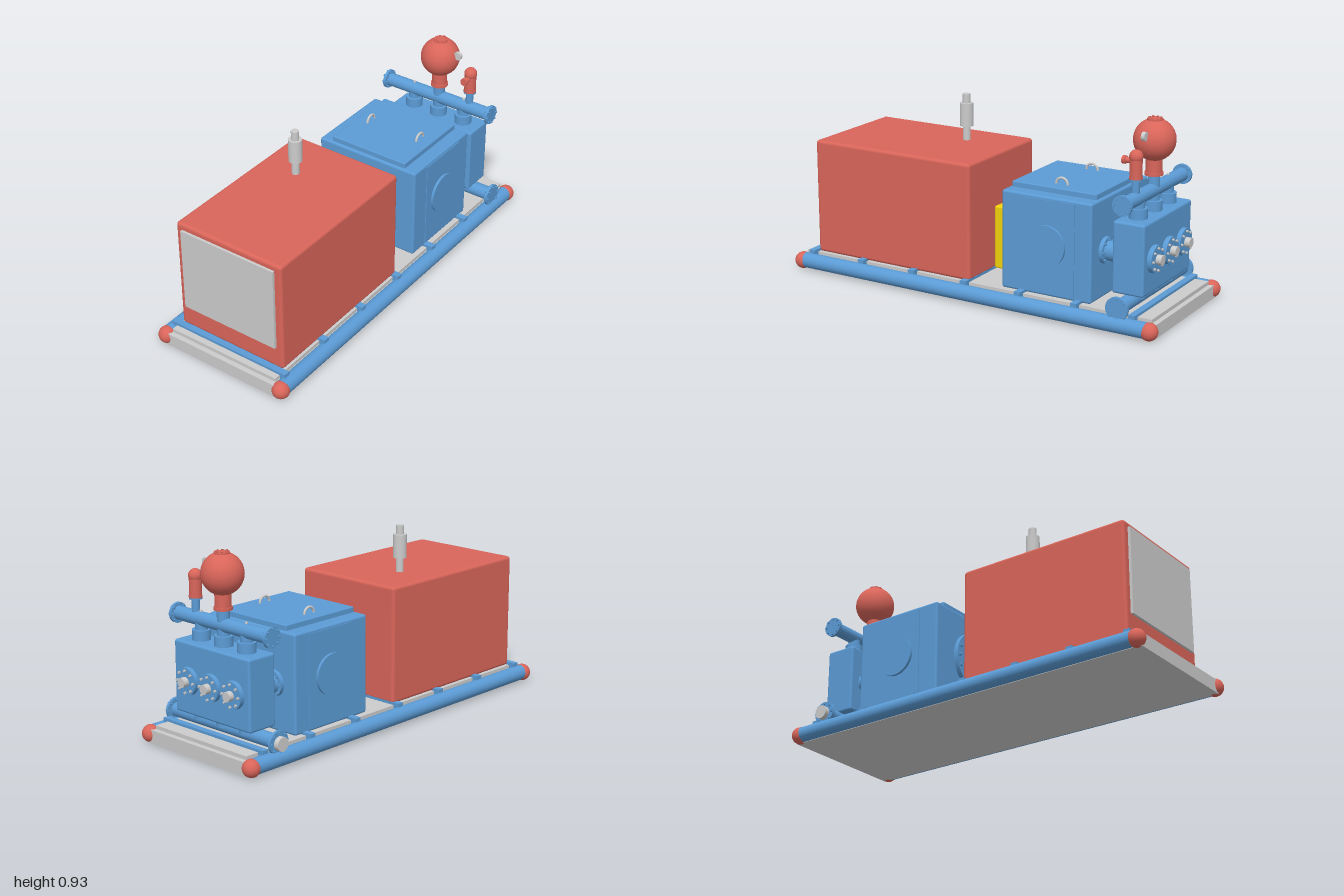
import * as THREE from 'three';
import { RoundedBoxGeometry } from 'three/addons/geometries/RoundedBoxGeometry.js';

const paint = (color) => new THREE.MeshStandardMaterial({ color });

export function createModel() {
  const model = new THREE.Group();
  const grey = paint(0xcccccc);
  const red = paint(0xd9655a);
  const blue = paint(0x5b9bd5);
  const yellow = paint(0xf2d20c);

  const add = (name, geometry, material, x = 0, y = 0, z = 0) => {
    const mesh = new THREE.Mesh(geometry, material);
    mesh.name = name;
    mesh.position.set(x, y, z);
    model.add(mesh);
    return mesh;
  };

  // Box given by its limits on each axis; r > 0 rounds the edges
  const box = (name, mat, [x0, x1], [y0, y1], [z0, z1], r = 0) => {
    const size = [x1 - x0, y1 - y0, z1 - z0];
    const geo = r ? new RoundedBoxGeometry(...size, 3, r) : new THREE.BoxGeometry(...size);
    return add(name, geo, mat, (x0 + x1) / 2, (y0 + y1) / 2, (z0 + z1) / 2);
  };

  // Cylinder running along an axis from a to b; the other two coordinates come from c
  const rod = (name, mat, axis, r, a, b, c, segments = 40) => {
    const geo = new THREE.CylinderGeometry(r, r, b - a, segments);
    if (axis === 'x') geo.rotateZ(-Math.PI / 2);
    if (axis === 'z') geo.rotateX(Math.PI / 2);
    const p = { x: c[0], y: c[1], z: c[2] };
    p[axis] = (a + b) / 2;
    return add(name, geo, mat, p.x, p.y, p.z);
  };

  const ball = (name, mat, r, x, y, z) =>
    add(name, new THREE.SphereGeometry(r, 40, 28), mat, x, y, z);

  // Ring of hexagonal bolts around an axis
  const bolts = (name, mat, axis, count, ring, r, a, b, c) => {
    for (let i = 0; i < count; i++) {
      const t = (i / count) * Math.PI * 2;
      const u = ring * Math.cos(t), v = ring * Math.sin(t);
      const [x, y, z] = c;
      const p = axis === 'x' ? [x, y + u, z + v] : axis === 'y' ? [x + u, y, z + v] : [x + u, y + v, z];
      rod(name, mat, axis, r, a, b, p, 6);
    }
  };

  // Skid: deck, side rails with ball ends, crossbars
  box('skidBase', grey, [-0.98, 0.98], [0.01, 0.075], [-0.33, 0.33]);
  box('skidDeck', grey, [-0.955, 0.955], [0.075, 0.093], [-0.3, 0.3]);
  for (const s of [-1, 1]) {
    rod('sideRail', blue, 'x', 0.038, -0.96, 0.96, [0, 0.05, s * 0.332]);
    for (const e of [-1, 1]) ball('railEnd', red, 0.042, e * 0.958, 0.048, s * 0.333);
  }
  for (let i = 0; i < 7; i++) {
    const x = -0.907 + i * 0.296;
    box('crossbar', blue, [x - 0.016, x + 0.016], [0.075, 0.106], [-0.33, 0.33]);
  }

  // Engine enclosure, radiator panel and exhaust
  box('engineEnclosure', red, [-0.89, -0.003], [0.095, 0.665], [-0.295, 0.295], 0.016);
  box('radiatorPanel', grey, [-0.903, -0.88], [0.21, 0.635], [-0.26, 0.26]);
  const stack = [-0.265, 0, -0.1];
  rod('exhaustPipe', grey, 'y', 0.019, 0.65, 0.895, stack);
  rod('muffler', grey, 'y', 0.033, 0.735, 0.85, stack);

  // Drive coupling between engine and gearbox
  rod('driveShaft', grey, 'x', 0.022, -0.01, 0.14, [0, 0.325, 0]);
  box('couplingGuard', yellow, [0.015, 0.145], [0.11, 0.42], [-0.098, 0.098], 0.008);
  rod('inputFlange', blue, 'x', 0.147, 0.143, 0.175, [0, 0.34, 0], 56);
  bolts('inputBolt', blue, 'x', 16, 0.13, 0.008, 0.133, 0.15, [0, 0.34, 0]);

  // Gearbox with lid, round side covers and lifting eyes
  box('gearbox', blue, [0.166, 0.635], [0.095, 0.57], [-0.28, 0.28], 0.012);
  box('gearboxLid', blue, [0.18, 0.622], [0.56, 0.597], [-0.212, 0.212], 0.006);
  for (const s of [-1, 1]) {
    box('sidePanel', blue, [0.27, 0.55], [0.11, 0.555], [s * 0.28 - 0.004, s * 0.28 + 0.004]);
    rod('sideCover', blue, 'z', 0.098, s * 0.285 - 0.012, s * 0.285 + 0.012, [0.407, 0.34, 0], 56);
    add('liftingEye', new THREE.TorusGeometry(0.03, 0.006, 10, 24, Math.PI), grey, 0.407, 0.597, s * 0.145);
  }

  // Pump head: block, three plunger tubes, three cover flanges
  box('pumpHead', blue, [0.722, 0.88], [0.16, 0.5], [-0.245, 0.245], 0.012);
  for (const z of [-0.148, 0, 0.148]) {
    const c = [0.8, 0.322, z];
    rod('plungerTube', blue, 'x', 0.047, 0.63, 0.73, c);
    rod('plungerFlange', blue, 'x', 0.063, 0.635, 0.655, c);
    bolts('plungerBolt', blue, 'x', 8, 0.053, 0.006, 0.652, 0.663, c);
    rod('headFlange', blue, 'x', 0.065, 0.875, 0.903, c);
    rod('headPlug', grey, 'x', 0.023, 0.9, 0.93, c);
    bolts('headBolt', grey, 'x', 8, 0.052, 0.006, 0.9, 0.912, c);
    rod('dischargePort', blue, 'y', 0.043, 0.49, 0.548, [0.8, 0, z]);
    rod('dischargeNeck', blue, 'y', 0.029, 0.54, 0.595, [0.8, 0, z]);
    rod('suctionNeck', blue, 'y', 0.042, 0.125, 0.17, [0.8, 0, z]);
    if (z) rod('manifoldPlug', grey, 'y', 0.007, 0.62, 0.636, [0.8, 0, z], 12);
  }

  // Discharge and suction manifolds with bolted end flanges
  const manifold = (name, y, r, flange, end) => {
    rod(name, blue, 'z', r, -end + 0.005, end - 0.005, [0.8, y, 0]);
    for (const s of [-1, 1]) {
      const z = s * (end - 0.007);
      rod(name + 'Flange', blue, 'z', flange, z - 0.007, z + 0.007, [0.8, y, 0]);
      bolts(name + 'Bolt', blue, 'z', 8, flange * 0.82, 0.006, z - 0.014, z + 0.014, [0.8, y, 0]);
    }
  };
  manifold('dischargeManifold', 0.596, 0.033, 0.048, 0.312);
  manifold('suctionManifold', 0.126, 0.034, 0.056, 0.345);
  rod('suctionCap', grey, 'z', 0.033, -0.37, -0.34, [0.8, 0.124, 0]);

  // Pulsation damper: neck, ball, bolted cap and pressure gauge
  const d = [0.8, 0, 0];
  rod('damperPipe', blue, 'y', 0.029, 0.596, 0.67, d);
  rod('damperFlange', red, 'y', 0.043, 0.666, 0.68, d);
  rod('damperNeck', red, 'y', 0.038, 0.678, 0.76, d);
  ball('damperBall', red, 0.098, 0.8, 0.83, 0);
  rod('damperCap', red, 'y', 0.036, 0.91, 0.928, d);
  bolts('damperBolt', red, 'y', 8, 0.028, 0.005, 0.926, 0.933, d);
  rod('gaugeStem', grey, 'z', 0.007, 0.08, 0.1, [0.8, 0.865, 0], 12);
  rod('gauge', grey, 'x', 0.021, 0.791, 0.809, [0, 0.865, 0.103]);

  // Relief valve with side outlet
  const v = [0.8, 0, 0.181];
  rod('reliefPipe', blue, 'y', 0.019, 0.6, 0.69, v);
  rod('reliefLowerFlange', blue, 'y', 0.031, 0.683, 0.69, v);
  rod('reliefUpperFlange', red, 'y', 0.031, 0.69, 0.698, v);
  rod('reliefBody', red, 'y', 0.029, 0.695, 0.79, v);
  ball('reliefDome', red, 0.032, 0.8, 0.791, 0.181);
  rod('reliefOutlet', red, 'x', 0.013, 0.745, 0.8, [0, 0.77, 0.181]);
  rod('reliefOutletRim', red, 'x', 0.019, 0.735, 0.75, [0, 0.77, 0.181]);

  return model;
}
